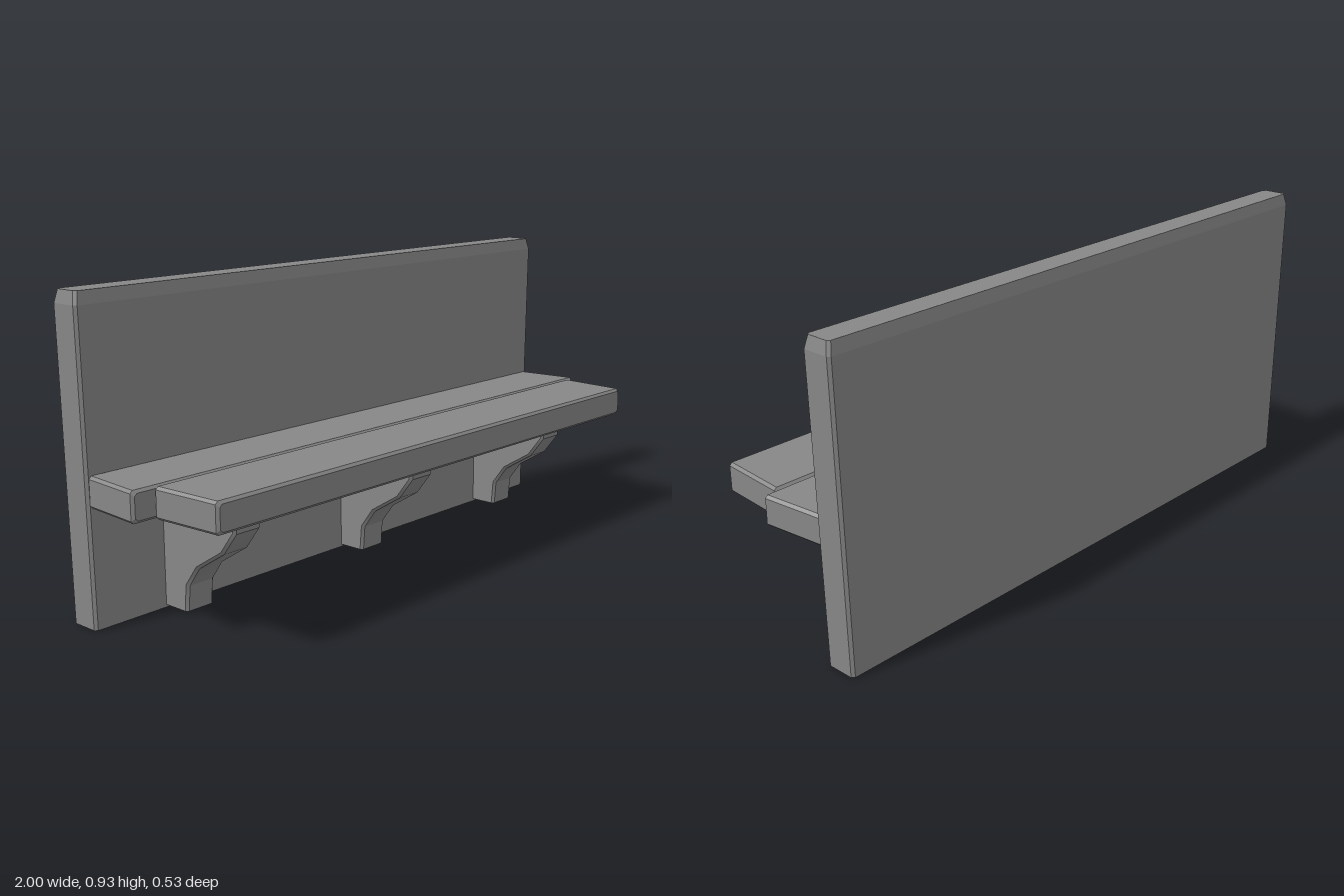
import * as THREE from 'three';
import { toCreasedNormals } from 'three/addons/utils/BufferGeometryUtils.js';

// Both sides show because the board and brackets are open underneath
const grey = new THREE.MeshStandardMaterial({ color: 0x878787, side: THREE.DoubleSide });

// Skin a row of matching cross-sections; loops run counter-clockwise seen from the last section
function loft(name, sections, { capStart = false, capEnd = false, crease = 0.1 } = {}) {
  const n = sections[0].length;
  const index = [];
  for (let i = 0; i < sections.length - 1; i++) {
    for (let j = 0; j < n; j++) {
      const a = i * n + j, b = i * n + (j + 1) % n;
      index.push(a, b, b + n, a, b + n, a + n);
    }
  }
  const end = (sections.length - 1) * n;
  for (let j = 1; j < n - 1; j++) {
    if (capStart) index.push(0, j + 1, j);
    if (capEnd) index.push(end, end + j, end + j + 1);
  }
  const geometry = new THREE.BufferGeometry();
  geometry.setAttribute('position', new THREE.Float32BufferAttribute(sections.flat(2), 3));
  geometry.setIndex(index);
  const mesh = new THREE.Mesh(toCreasedNormals(geometry, crease), grey);
  mesh.name = name;
  return mesh;
}

// Rectangle with cut corners, counter-clockwise
const cutRect = (u0, u1, v0, v1, c) => [
  [u0 + c, v0], [u1 - c, v0], [u1, v0 + c], [u1, v1 - c],
  [u1 - c, v1], [u0 + c, v1], [u0, v1 - c], [u0, v0 + c],
];

// Upright back board, widening slightly upward, with a bevelled top and open underside
function backPanel() {
  const level = (x0, x1, y, inset) =>
    cutRect(x0 + inset, x1 - inset, 0.17 + inset, 0.268 - inset, 0.008).map(([x, v]) => [x, y, -v]);
  return loft('backPanel', [
    level(-0.985, 0.982, 0, 0),
    level(-1, 1, 0.89, 0),
    level(-1, 1, 0.927, 0.008),
  ], { capEnd: true });
}

// Bevelled seat board with skewed ends: [left x, right x] at its back and front
function plank(name, zBack, zFront, back, front) {
  const c = 0.008;
  const section = (t, z, inset) => {
    const x0 = THREE.MathUtils.lerp(back[0], front[0], t);
    const x1 = THREE.MathUtils.lerp(back[1], front[1], t);
    return cutRect(x0 + inset, x1 - inset, 0.346 + inset, 0.436 - inset, c)
      .map(([x, y]) => [x, y, z]);
  };
  return loft(name, [
    section(0, zBack, c),
    section(0, zBack + c, 0),
    section(1, zFront - c, 0),
    section(1, zFront, c),
  ], { capStart: true, capEnd: true });
}

// Curved support with a bevelled front edge; profile is [z, y] from the floor up
const profile = [
  [-0.08, 0.008], [-0.074, 0.085], [-0.03, 0.145],
  [0.073, 0.209], [0.125, 0.277], [0.125, 0.35],
];

function bracket(x0, x1) {
  const c = 0.008, zBack = -0.195;
  const sections = profile.map(([z, y], i) => {
    const p = profile[Math.max(i - 1, 0)], q = profile[Math.min(i + 1, profile.length - 1)];
    const dz = q[0] - p[0], dy = q[1] - p[1], length = Math.hypot(dz, dy);
    const atEnd = i === 0 || i === profile.length - 1;
    const zi = z - (atEnd ? c : c * dy / length);
    const yi = y + (atEnd ? 0 : c * dz / length);
    return [
      [x0, yi, zBack], [x0, yi, zi], [x0 + c, y, z],
      [x1 - c, y, z], [x1, yi, zi], [x1, yi, zBack],
    ];
  });
  return loft('bracket', sections, { crease: 0.52 });
}

export function createModel() {
  const bench = new THREE.Group();
  bench.name = 'bench';
  bench.add(
    backPanel(),
    plank('rearSeatPlank', -0.175, 0.033, [-0.985, 0.98], [-1, 1]),
    plank('frontSeatPlank', 0.035, 0.267, [-0.932, 0.957], [-0.92, 0.941]),
  );
  for (const [x0, x1] of [[-0.74, -0.641], [-0.015, 0.086], [0.682, 0.782]]) {
    bench.add(bracket(x0, x1));
  }
  return bench;
}
